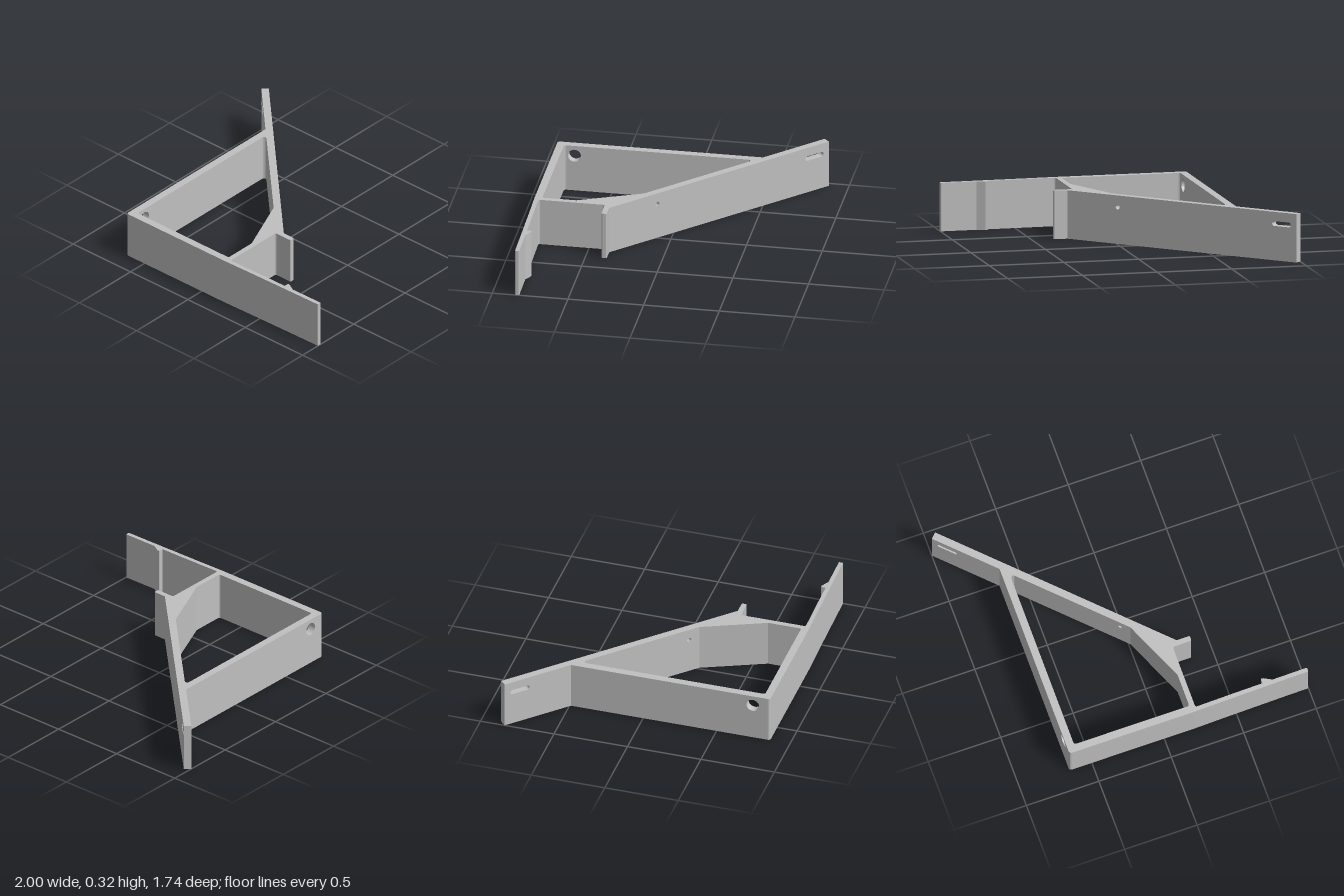
import * as THREE from 'three';

const H = 0.32; // height of the whole bracket

// Closed shape from [x, z, cornerRadius] plan points
function roundedPlan(points) {
  const shape = new THREE.Shape();
  const n = points.length;
  const v = points.map(([x, z]) => new THREE.Vector2(x, -z));
  points.forEach(([, , r = 0], i) => {
    const p = v[i];
    const toward = (q) => q.clone().sub(p).setLength(r).add(p);
    const a = r ? toward(v[(i + n - 1) % n]) : p;
    if (i === 0) shape.moveTo(a.x, a.y);
    else shape.lineTo(a.x, a.y);
    if (r) {
      const b = toward(v[(i + 1) % n]);
      shape.quadraticCurveTo(p.x, p.y, b.x, b.y);
    }
  });
  shape.closePath();
  return shape;
}

// Upright wall with slots given as [start, end, y, radius]
function wallGeometry(length, thickness, slots) {
  const shape = new THREE.Shape();
  shape.moveTo(0, 0);
  shape.lineTo(length, 0);
  shape.lineTo(length, H);
  shape.lineTo(0, H);
  shape.closePath();
  for (const [a, b, y, r] of slots) {
    const hole = new THREE.Path();
    hole.absarc(b - r, y, r, Math.PI / 2, -Math.PI / 2, true);
    hole.absarc(a + r, y, r, -Math.PI / 2, -Math.PI * 1.5, true);
    hole.closePath();
    shape.holes.push(hole);
  }
  return new THREE.ExtrudeGeometry(shape, { depth: thickness, bevelEnabled: false, curveSegments: 16 });
}

export function createModel() {
  const model = new THREE.Group();
  model.name = 'bracket';
  const grey = new THREE.MeshStandardMaterial({ color: 0xc0c0c0 });
  grey.name = 'light grey';

  const add = (name, geometry) => {
    const mesh = new THREE.Mesh(geometry, grey);
    mesh.name = name;
    model.add(mesh);
    return mesh;
  };
  const addPlan = (name, points) => {
    const g = new THREE.ExtrudeGeometry(roundedPlan(points), { depth: H, bevelEnabled: false, curveSegments: 6 });
    g.rotateX(-Math.PI / 2);
    return add(name, g);
  };

  // Front bar with clip tongue, short upright wall, gusset and lip
  addPlan('frontBarAndClip', [
    [-0.655, 0.795], [-0.655, 0.865, 0.02],
    [0.2, 0.865], [0.4, 0.86], [0.84, 0.852], [1, 0.85, 0.008],
    [1, 0.822, 0.008], [0.76, 0.825], [0.705, 0.795, 0.006], [0.69, 0.795, 0.004], [0.69, 0.827],
    [0.525, 0.829], [0.225, 0.835, 0.015], [0.225, 0.395, 0.015],
    [0.355, 0.395, 0.008], [0.355, 0.36, 0.008], [0.265, 0.36],
    [0.039, 0.134], [0.004, 0.169], [0.012, 0.177],
    [0.19, 0.59], [0.19, 0.815, 0.015], [-0.605, 0.815, 0.018], [-0.605, 0.795],
  ]);

  // Diagonal arm with an end slot and a small pin hole
  const arm = add('diagonalArm', wallGeometry(1.42, 0.049, [
    [0.042, 0.184, 0.243, 0.016],
    [1.342, 1.372, 0.243, 0.0149],
  ]));
  arm.rotation.y = -Math.PI / 4;
  arm.position.set(-0.965, 0, -0.87);

  // Side wall with a round hole near the front corner
  const side = add('sideWall', wallGeometry(1.286, 0.05, [[1.194, 1.28, 0.25, 0.0429]]));
  side.rotation.y = -Math.PI / 2;
  side.position.set(-0.605, 0, -0.491);

  // Fillet where the side wall meets the arm
  addPlan('innerFillet', [
    [-0.606, -0.445], [-0.606, -0.405], [-0.602, -0.413], [-0.593, -0.419], [-0.582, -0.416], [-0.57, -0.407],
  ]);

  return model;
}
